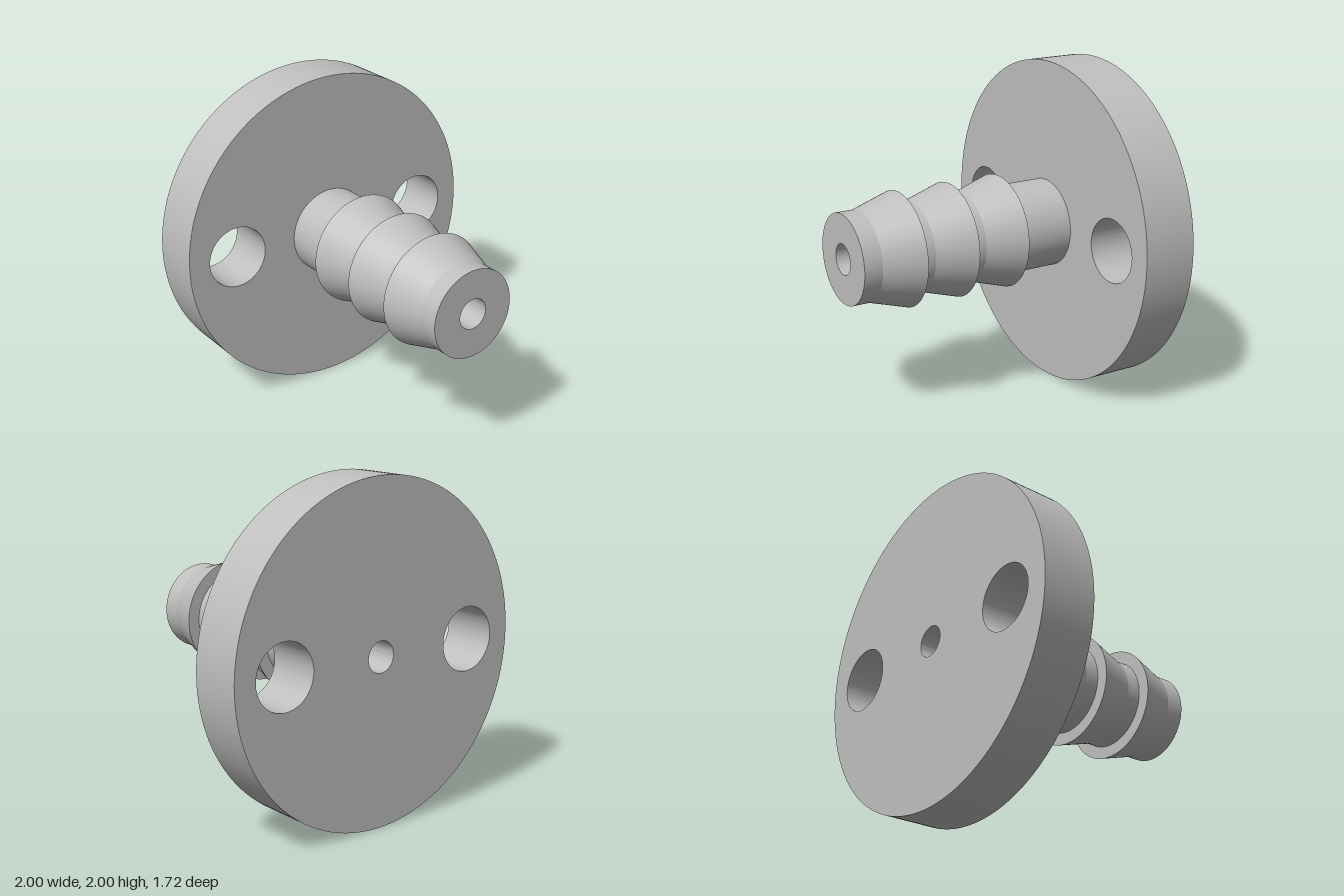
import * as THREE from 'three';
import { toCreasedNormals } from 'three/addons/utils/BufferGeometryUtils.js';

const BORE = 0.092, STEM = 0.27, BARB = 0.345;
const BACK = -0.86, FLANGE_FRONT = -0.525, TIP = 0.86;

export function createModel() {
  const group = new THREE.Group();
  const grey = new THREE.MeshStandardMaterial({ color: 0xbfbfbf });
  grey.name = 'grey';

  const add = (name, geometry) => {
    const mesh = new THREE.Mesh(toCreasedNormals(geometry, 0.2), grey);
    mesh.name = name;
    mesh.position.y = 1;
    group.add(mesh);
  };

  // Round flange with two bolt holes and the central bore
  const disc = new THREE.Shape().absarc(0, 0, 1, 0, Math.PI * 2);
  for (const [x, r] of [[-0.672, 0.192], [0, BORE], [0.672, 0.192]]) {
    disc.holes.push(new THREE.Path().absarc(x, 0, r, 0, Math.PI * 2, true));
  }
  const flange = new THREE.ExtrudeGeometry(disc, {
    depth: FLANGE_FRONT - BACK, bevelEnabled: false, curveSegments: 96,
  });
  flange.translate(0, 0, BACK);
  add('flange', flange);

  // Hollow hose stem: three barbs that taper towards the tip
  const profile = [[STEM, FLANGE_FRONT]];
  for (const z of [-0.178, 0.16, 0.498]) {
    profile.push([STEM, z], [BARB, z], [STEM, z + 0.248]);
  }
  profile.push([STEM, TIP], [BORE, TIP], [BORE, FLANGE_FRONT]);
  const stem = new THREE.LatheGeometry(profile.map(([r, z]) => new THREE.Vector2(r, z)), 96);
  stem.rotateX(Math.PI / 2);
  add('barbedStem', stem);

  return group;
}
